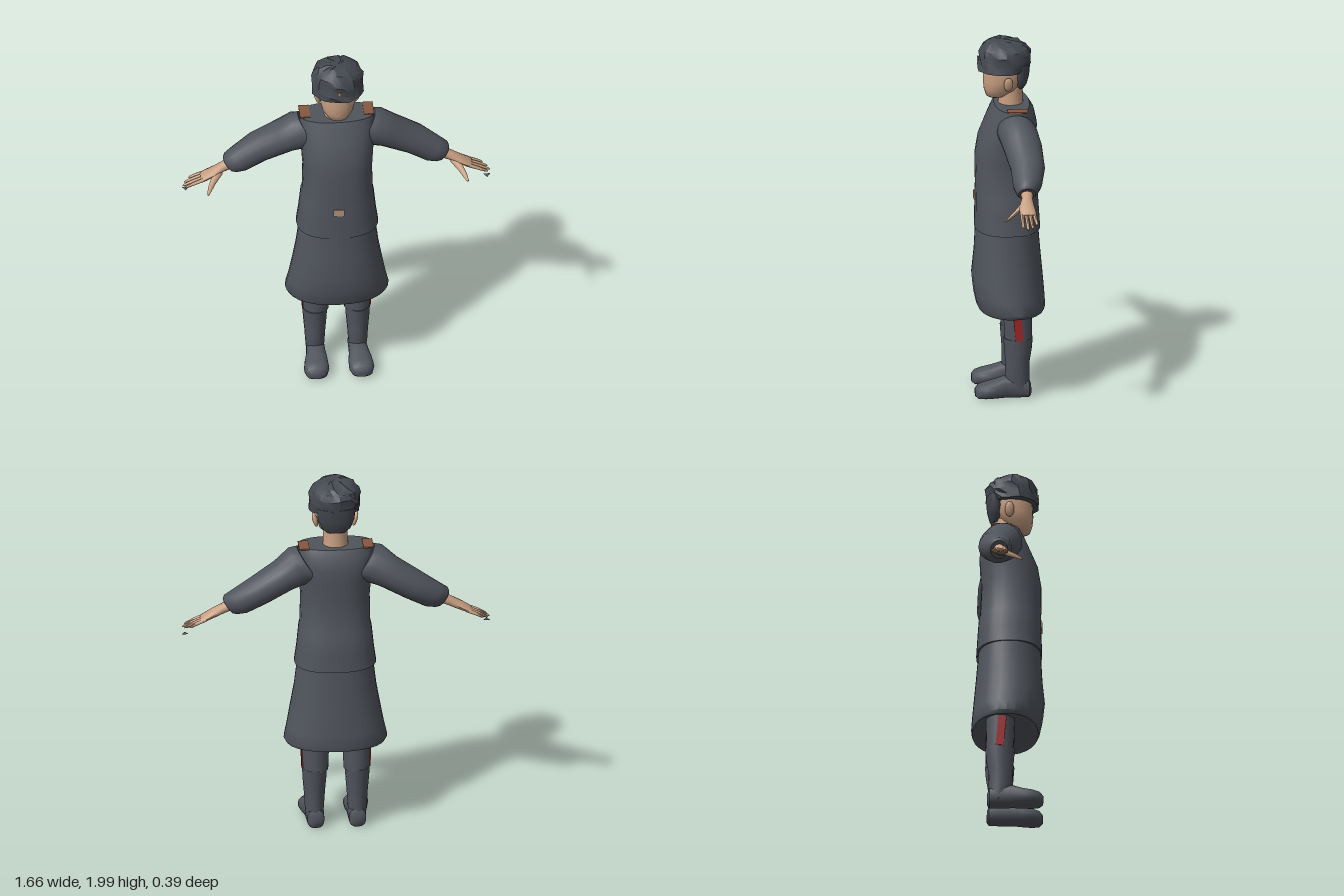
import * as THREE from 'three';
import { toCreasedNormals } from 'three/addons/utils/BufferGeometryUtils.js';

const mat = (name, color) => {
  const m = new THREE.MeshStandardMaterial({ color });
  m.name = name;
  return m;
};
const X = new THREE.Vector3(1, 0, 0), Y = new THREE.Vector3(0, 1, 0), Z = new THREE.Vector3(0, 0, 1);

// Skin closed cross-sections [cx, cy, cz, radiusU, radiusV]; power > 2 squares the outline
function loft(sections, u, v, { sides = 20, power = 2, crease = 0.8, jitter = null } = {}) {
  const pos = [], idx = [], n = sections.length;
  const c = sections.map(s => new THREE.Vector3(s[0], s[1], s[2]));
  const round = t => Math.sign(t) * Math.abs(t) ** (2 / power);
  sections.forEach((s, i) => {
    for (let j = 0; j < sides; j++) {
      const a = j / sides * Math.PI * 2, k = jitter ? jitter(i, j) : 1;
      const p = c[i].clone().addScaledVector(u, s[3] * round(Math.cos(a)) * k)
        .addScaledVector(v, s[4] * round(Math.sin(a)) * k);
      if (jitter) p.y += (jitter(j + 5, i + 3) - 1) * 0.12 * (i > 0 ? 1 : 0);
      pos.push(p.x, p.y, p.z);
    }
  });
  pos.push(...c[0].toArray(), ...c[n - 1].toArray());
  const flip = u.clone().cross(v).dot(c[n - 1].clone().sub(c[0])) < 0;
  const tri = (a, b, d) => flip ? idx.push(a, d, b) : idx.push(a, b, d);
  for (let j = 0; j < sides; j++) {
    const k = (j + 1) % sides;
    for (let i = 0; i < n - 1; i++) {
      const a = i * sides + j, b = i * sides + k;
      tri(a, b, b + sides);
      tri(a, b + sides, a + sides);
    }
    tri(n * sides, k, j);
    tri(n * sides + 1, (n - 1) * sides + j, (n - 1) * sides + k);
  }
  const g = new THREE.BufferGeometry();
  g.setAttribute('position', new THREE.Float32BufferAttribute(pos, 3));
  g.setIndex(idx);
  return toCreasedNormals(g, crease);
}

// Upright rows [y, halfWidth, zFront, zBack], optionally offset in x
const upright = (rows, opts, cx = 0) =>
  loft(rows.map(([y, w, f, b]) => [cx, y, (f + b) / 2, w, (f - b) / 2]), X, Z, opts);

export function createModel() {
  const root = new THREE.Group();
  const cloth = mat('slate cloth', 0x50545c), fur = mat('dark fur', 0x444950);
  const skin = mat('skin', 0xc79f82), red = mat('red stripe', 0xa02628);
  const brown = mat('brown patch', 0x87573f), tan = mat('buckle tan', 0xb5937c);
  const add = (name, geo, m, parent = root) => {
    const mesh = new THREE.Mesh(geo, m);
    mesh.name = name;
    parent.add(mesh);
    return mesh;
  };
  const box = (name, m, size, at, parent) => {
    const b = add(name, new THREE.BoxGeometry(...size), m, parent);
    b.position.set(...at);
    return b;
  };

  // Coat: flared skirt below, straight tunic overlapping it
  add('coatSkirt', upright([
    [0.52, 0.2, 0.11, -0.14], [0.49, 0.265, 0.165, -0.19], [0.51, 0.278, 0.175, -0.195],
    [0.58, 0.262, 0.19, -0.19], [0.67, 0.245, 0.2, -0.182], [0.8, 0.222, 0.187, -0.17], [0.98, 0.2, 0.178, -0.155],
  ], { sides: 28, power: 2.2 }), cloth);
  add('coatBody', upright([
    [0.95, 0.2, 0.165, -0.15], [0.945, 0.22, 0.185, -0.168], [1.03, 0.208, 0.183, -0.163], [1.15, 0.196, 0.182, -0.155],
    [1.17, 0.19, 0.18, -0.148], [1.34, 0.187, 0.183, -0.14], [1.45, 0.195, 0.165, -0.148],
    [1.53, 0.2, 0.132, -0.15], [1.6, 0.205, 0.1, -0.135], [1.64, 0.2, 0.08, -0.11],
  ], { sides: 28, power: 2.4 }), cloth);
  box('beltBuckle', tan, [0.06, 0.04, 0.008], [-0.005, 1.115, 0.184]);

  // Head and neck
  add('neck', upright([[1.58, 0.075, 0.06, -0.085], [1.66, 0.066, 0.055, -0.075], [1.76, 0.066, 0.05, -0.075]]), skin);
  add('head', upright([
    [1.672, 0.03, 0.105, 0.04], [1.682, 0.055, 0.122, 0.01], [1.72, 0.084, 0.134, -0.05],
    [1.77, 0.097, 0.138, -0.08], [1.82, 0.1, 0.136, -0.095], [1.87, 0.1, 0.13, -0.095],
  ], { power: 2.2, crease: 1 }), skin);
  add('backHair', upright([
    [1.725, 0.05, -0.04, -0.082], [1.75, 0.078, -0.025, -0.097], [1.8, 0.098, -0.015, -0.11], [1.87, 0.104, -0.01, -0.116],
  ]), fur);

  // Shaggy fur hat, roughened by a seeded hash
  const tuft = (i, j) => {
    const h = Math.sin(i * 127.1 + j * 311.7 + 9) * 43758.5453;
    return 1 + (h - Math.floor(h) - 0.5) * 0.11;
  };
  add('furHat', upright([
    [1.832, 0.138, 0.168, -0.1], [1.86, 0.136, 0.165, -0.112], [1.89, 0.136, 0.16, -0.117],
    [1.92, 0.137, 0.156, -0.117], [1.95, 0.125, 0.148, -0.105], [1.975, 0.1, 0.125, -0.07], [1.992, 0.058, 0.09, -0.005],
  ], { sides: 26, jitter: tuft, crease: 0.5 }), fur);
  box('hatBadge', tan, [0.016, 0.026, 0.008], [0, 1.888, 0.165]);

  for (const s of [1, -1]) {
    const side = s > 0 ? 'left' : 'right';
    const ear = add(side + 'Ear', new THREE.SphereGeometry(1, 10, 8), skin);
    ear.scale.set(0.014, 0.042, 0.026);
    ear.position.set(s * 0.108, 1.77, 0.01);
    ear.rotation.z = -s * 0.25;

    // Sleeve with gathered cuff
    const arm = new THREE.Group();
    arm.name = side + 'Arm';
    root.add(arm);
    const flipX = rows => rows.map(r => [s * r[0], ...r.slice(1)]);
    const across = new THREE.Vector3(s * 0.57, 0.82, 0);
    add('sleeve', loft(flipX([
      [0.14, 1.53, -0.025, 0.12, 0.1], [0.19, 1.528, -0.03, 0.112, 0.107], [0.28, 1.48, -0.05, 0.09, 0.105],
      [0.42, 1.4, -0.068, 0.082, 0.092], [0.52, 1.337, -0.058, 0.074, 0.077],
      [0.565, 1.318, -0.052, 0.064, 0.06], [0.58, 1.31, -0.05, 0.05, 0.047],
    ]), across, Z), cloth, arm);

    // Hand with four fingers and a spread thumb
    const up = new THREE.Vector3(s * 0.45, 0.89, 0);
    add('palm', loft(flipX([
      [0.54, 1.33, -0.05, 0.034, 0.034], [0.61, 1.295, -0.048, 0.027, 0.03], [0.66, 1.268, -0.043, 0.023, 0.041],
      [0.71, 1.243, -0.045, 0.017, 0.044], [0.725, 1.236, -0.046, 0.011, 0.041],
    ]), up, Z, { sides: 12 }), skin, arm);
    [[-0.078, -0.086, 0.79], [-0.056, -0.062, 0.815], [-0.034, -0.037, 0.825], [-0.012, -0.012, 0.812]]
      .forEach(([z0, z1, x1], i) => {
        const y1 = 1.24 - (x1 - 0.71) * 0.43;
        add('finger' + (i + 1), loft(flipX([
          [0.7, 1.245, z0, 0.011, 0.01], [(x1 + 0.71) / 2, (y1 + 1.244) / 2, (z0 + z1) / 2, 0.01, 0.0095],
          [x1 - 0.01, y1 + 0.004, z1, 0.007, 0.0075], [x1, y1, z1, 0.003, 0.003],
        ]), up, Z, { sides: 8 }), skin, arm);
      });
    add('thumb', loft(flipX([
      [0.63, 1.275, -0.03, 0.018, 0.02], [0.665, 1.243, 0.012, 0.015, 0.015],
      [0.685, 1.22, 0.045, 0.012, 0.011], [0.699, 1.2, 0.074, 0.005, 0.005],
    ]), up, new THREE.Vector3(s * -0.8, 0, 0.6), { sides: 8 }), skin, arm);

    // Small loose cloth scrap below the fingertips
    const scrap = add('clothScrap', new THREE.CylinderGeometry(0.004, 0.022, 0.007, 3), cloth, arm);
    scrap.position.set(s * 0.81, s > 0 ? 1.155 : 1.175, -0.04);

    // Shoulder patch
    box(side + 'ShoulderPatch', brown, [0.055, 0.008, 0.11], [s * 0.172, 1.64, -0.035]);

    // Leg: trouser, side stripe, boot shaft and foot
    const leg = new THREE.Group();
    leg.name = side + 'Leg';
    root.add(leg);
    add('trouser', upright([[0.335, 0.07, 0.032, -0.118], [0.45, 0.074, 0.036, -0.116], [0.62, 0.08, 0.04, -0.115]],
      {}, s * 0.111), cloth, leg);
    const stripe = box('trouserStripe', red, [0.009, 0.17, 0.042], [s * 0.183, 0.427, -0.036], leg);
    stripe.rotation.set(0.1, 0, -s * 0.035);
    add('bootShaft', upright([
      [0.04, 0.045, 0.0, -0.1], [0.12, 0.052, 0.03, -0.104], [0.2, 0.057, 0.027, -0.102],
      [0.28, 0.064, 0.033, -0.115], [0.345, 0.067, 0.038, -0.12],
    ], {}, s * 0.115), cloth, leg);
    add('bootFoot', loft(flipX([
      [0.112, 0.05, -0.11, 0.03, 0.03], [0.112, 0.058, -0.098, 0.046, 0.052], [0.113, 0.066, -0.03, 0.05, 0.06],
      [0.115, 0.067, 0.03, 0.053, 0.059], [0.118, 0.057, 0.08, 0.063, 0.05], [0.121, 0.05, 0.135, 0.068, 0.043],
      [0.122, 0.045, 0.172, 0.056, 0.036], [0.122, 0.042, 0.19, 0.03, 0.02],
    ]), X, Y, { sides: 16, power: 2.6 }), cloth, leg);
  }
  return root;
}
